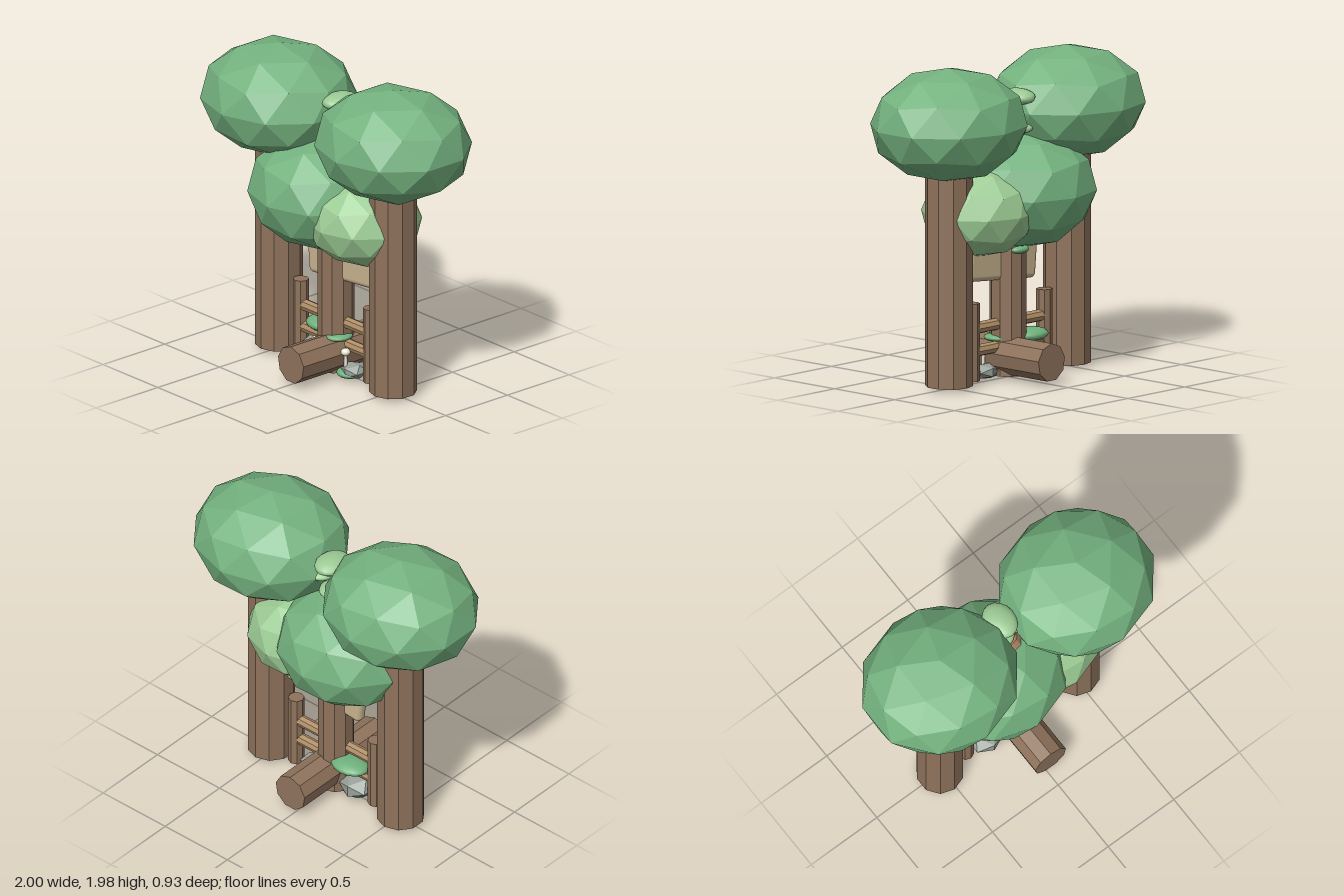
import * as THREE from 'three';
import { RoundedBoxGeometry } from 'three/addons/geometries/RoundedBoxGeometry.js';

const paint = (color, flatShading = true) => new THREE.MeshStandardMaterial({ color, flatShading });

const MAT = {
  bark: paint(0x8f735c),
  stump: paint(0xb58a6a),
  rail: paint(0xb08f68),
  board: paint(0xc8b48e, false),
  leafDark: paint(0x74b27f),
  leafLight: paint(0x9ccb94),
  sprigDark: paint(0x6fb07c, false),
  sprigLight: paint(0x9ccb94, false),
  rock: paint(0x98a099),
  mushroom: paint(0xeee6d6, false),
};

export function createModel() {
  const model = new THREE.Group();

  const add = (name, geometry, material, x, y, z) => {
    const mesh = new THREE.Mesh(geometry, material);
    mesh.name = name;
    mesh.position.set(x, y, z);
    model.add(mesh);
    return mesh;
  };

  // Faceted ball with a corner pointing straight up
  const facetBall = (rx, ry, rz) =>
    new THREE.IcosahedronGeometry(1, 1)
      .rotateZ(Math.atan(2 / (1 + Math.sqrt(5))))
      .rotateY(Math.PI)
      .scale(rx, ry, rz);

  // Smooth flattened leaf or cap
  const smoothBall = (rx, ry, rz) => new THREE.SphereGeometry(1, 16, 10).scale(rx, ry, rz);

  // Upright pole standing between two heights
  const pole = (name, r, y0, y1, sides, x) =>
    add(name, new THREE.CylinderGeometry(r, r, y1 - y0, sides), MAT.bark, x, (y0 + y1) / 2, 0);

  // Outer trees and fence posts, mirrored
  for (const [side, s] of [['left', 1], ['right', -1]]) {
    pole(side + 'Trunk', 0.147, 0.02, 1.45, 10, 0.52 * s);
    add(side + 'Crown', facetBall(0.505, 0.35, 0.465), MAT.leafDark, 0.52 * s, 1.63, 0);
    pole(side + 'FencePost', 0.049, 0.02, 0.5, 8, 0.32 * s);
  }

  // Middle tree with two crowns and a pale tapering top
  pole('middleTrunk', 0.113, 0.02, 1.36, 10, 0);
  add('middleTrunkTop', new THREE.CylinderGeometry(0.05, 0.15, 0.18, 10), MAT.stump, 0, 1.43, 0);
  add('middleCrown', facetBall(0.473, 0.363, 0.452), MAT.leafDark, -0.12, 1.145, 0);
  add('lightCrown', facetBall(0.36, 0.28, 0.35), MAT.leafLight, 0.255, 1.06, 0);

  // Fence rails
  for (const y of [0.2, 0.34]) {
    const rail = new THREE.CylinderGeometry(0.037, 0.037, 0.62, 8).rotateZ(Math.PI / 2);
    add('fenceRail', rail, MAT.rail, 0, y, 0);
  }

  // Tilted board through the middle trunk
  const board = add('board', new RoundedBoxGeometry(0.6, 0.34, 0.08, 3, 0.035), MAT.board, 0.07, 0.78, 0);
  board.rotation.z = 0.09;

  // Fallen log
  const log = new THREE.CylinderGeometry(0.118, 0.118, 0.78, 9).rotateX(-Math.PI / 2);
  add('log', log, MAT.bark, 0.027, 0.143, 0);

  // Leaf sprigs: position, then radii
  const sprigs = [
    ['topSprig', MAT.sprigLight, [-0.02, 1.735, -0.055], [0.1, 0.05, 0.125]],
    ['topSprig', MAT.sprigLight, [0.08, 1.63, -0.05], [0.1, 0.04, 0.1]],
    ['topSprig', MAT.sprigLight, [-0.03, 1.54, -0.05], [0.09, 0.035, 0.1]],
    ['trunkSprig', MAT.sprigDark, [0, 0.8, -0.1], [0.07, 0.025, 0.04]],
    ['fenceSprig', MAT.sprigDark, [-0.15, 0.25, -0.04], [0.13, 0.042, 0.1]],
    ['fenceSprig', MAT.sprigDark, [0.06, 0.25, 0.03], [0.08, 0.025, 0.09]],
    ['groundSprig', MAT.sprigDark, [-0.15, 0.03, 0], [0.09, 0.03, 0.06]],
    ['groundSprig', MAT.sprigDark, [0.16, 0.04, 0.04], [0.08, 0.03, 0.07]],
  ];
  for (const [name, material, p, r] of sprigs) add(name, smoothBall(...r), material, ...p);

  // Rocks
  add('largeRock', new THREE.IcosahedronGeometry(1, 0).scale(0.12, 0.075, 0.12), MAT.rock, -0.18, 0.09, 0);
  add('smallRock', new THREE.IcosahedronGeometry(1, 0).scale(0.09, 0.05, 0.09), MAT.rock, 0.19, 0.06, 0.02);

  // Mushrooms beside the log
  for (const [x, r] of [[-0.125, 0.025], [0.155, 0.03]]) {
    add('mushroomCap', smoothBall(r, r * 0.8, r), MAT.mushroom, x, 0.178, 0.06);
    add('mushroomStem', new THREE.CylinderGeometry(r * 0.35, r * 0.4, 0.1, 8), MAT.mushroom, x, 0.125, 0.06);
  }

  return model;
}
